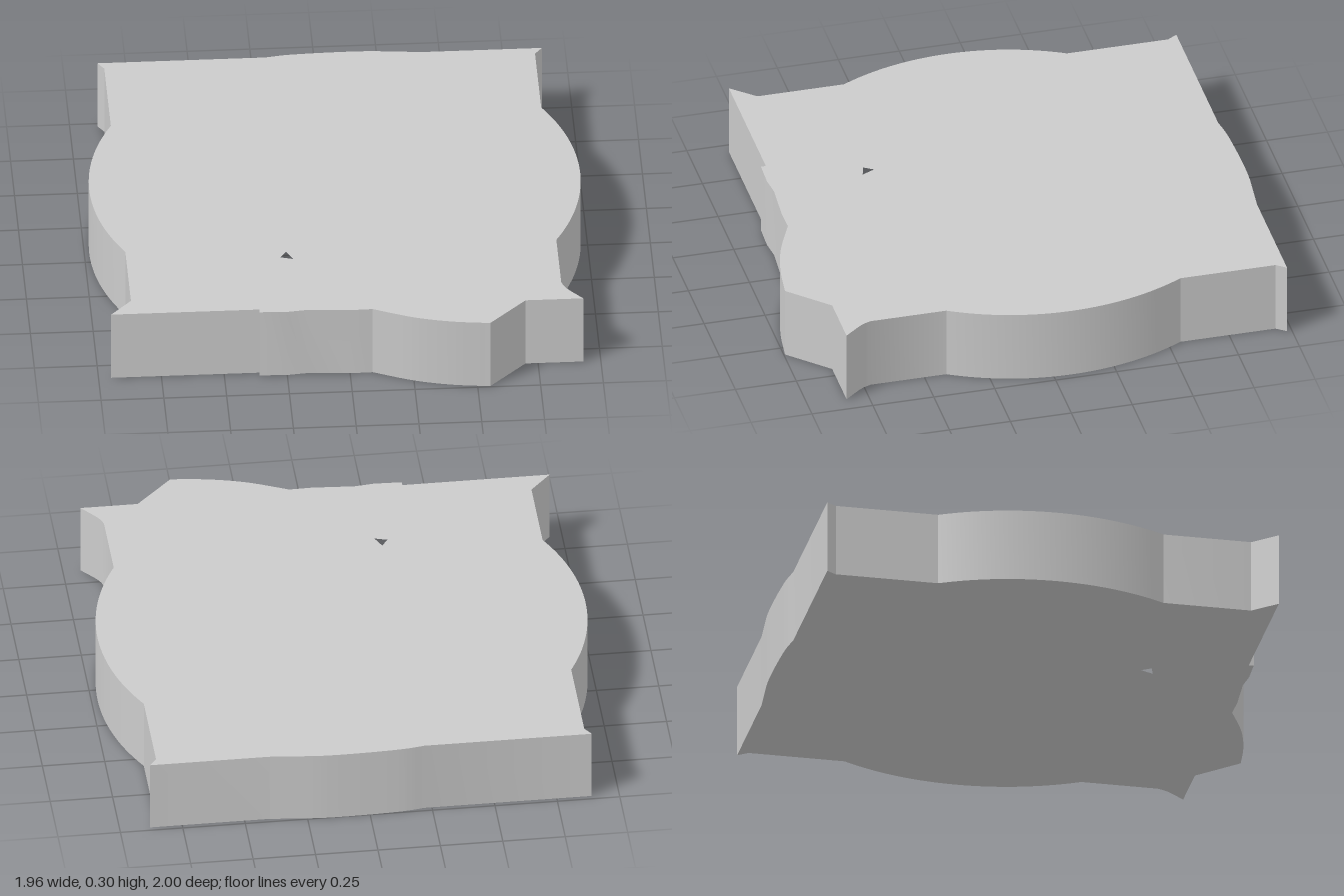
import * as THREE from 'three';
import { toCreasedNormals } from 'three/addons/utils/BufferGeometryUtils.js';

const HEIGHT = 0.3;

// Plan coordinates are (x, z); the shape lies in (x, -z) and is laid flat later.
const v = (x, z) => new THREE.Vector2(x, -z);

function slabOutline() {
  const s = new THREE.Shape();
  const line = (...pts) => pts.forEach(([x, z]) => s.lineTo(x, -z));
  const curve = (...pts) => s.splineThru(pts.map(([x, z]) => v(x, z)));

  // back edge with its shallow bump
  s.moveTo(-0.89, 0.98);
  line([-0.22, -0.98]);
  curve([-0.13, -0.993], [0.03, -1], [0.18, -1], [0.3, -0.99], [0.4, -0.98]);
  line([0.88, -0.98], [0.85, -0.94], [0.85, -0.55]);

  // bulging left side (+x) and flared front corner
  s.absarc(-0.009, 0.07, 0.984, 0.51, -0.51, true);
  line([0.85, 0.72]);
  curve([0.87, 0.765], [0.93, 0.84]);

  // front edge with its swept lobe
  line([0.7, 0.84], [0.55, 0.995]);
  curve([0.4, 0.975], [0.25, 0.935], [0.09, 0.865]);
  line([0, 0.867], [-0.17, 0.855], [-0.25, 0.864], [-0.36, 0.86], [-0.36, 0.84]);

  // flared front corner and bulging right side (-x)
  line([-0.95, 0.84], [-0.865, 0.745], [-0.865, 0.39]);
  s.absarc(-0.014, 0.0675, 0.966, Math.PI + 0.493, Math.PI - 0.493, true);
  line([-0.865, -0.94]);
  s.closePath();

  // small triangular hole
  s.holes.push(new THREE.Path([v(-0.228, 0.43), v(-0.203, 0.483), v(-0.253, 0.468)]));
  return s;
}

export function createModel() {
  const model = new THREE.Group();
  model.name = 'contouredSlab';

  const extruded = new THREE.ExtrudeGeometry(slabOutline(), {
    depth: HEIGHT, bevelEnabled: false, curveSegments: 24,
  });
  extruded.rotateX(-Math.PI / 2);

  const slab = new THREE.Mesh(
    toCreasedNormals(extruded, 0.4),
    new THREE.MeshStandardMaterial({ color: 0xcccccc }),
  );
  slab.name = 'slab';
  model.add(slab);
  return model;
}
